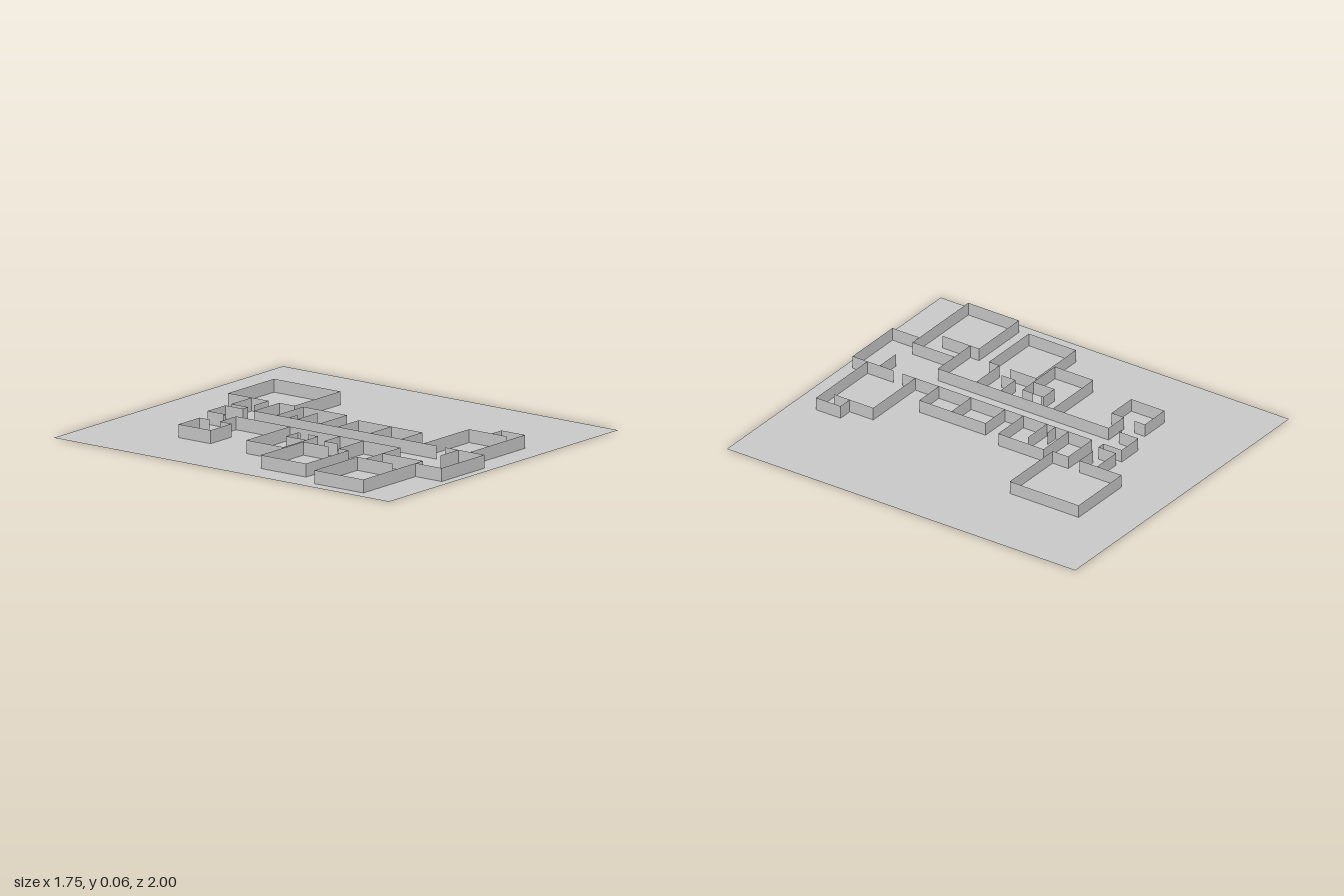
import * as THREE from 'three';
import { mergeGeometries } from 'three/addons/utils/BufferGeometryUtils.js';

const HEIGHT = 0.065;
const material = new THREE.MeshStandardMaterial({ color: 0xcccccc, side: THREE.DoubleSide, flatShading: true });

// One thin upright panel between two plan points [x, z]
function panel([x1, z1], [x2, z2]) {
  const g = new THREE.PlaneGeometry(Math.hypot(x2 - x1, z2 - z1), HEIGHT);
  g.rotateY(-Math.atan2(z2 - z1, x2 - x1));
  return g.translate((x1 + x2) / 2, HEIGHT / 2, (z1 + z2) / 2);
}

// A named set of walls, each following a plan path
function walls(name, ...paths) {
  const panels = paths.flatMap((p) => p.slice(1).map((end, i) => panel(p[i], end)));
  const mesh = new THREE.Mesh(mergeGeometries(panels), material);
  mesh.name = name;
  return mesh;
}

export function createModel() {
  const model = new THREE.Group();
  model.name = 'floorPlan';

  const ground = new THREE.Mesh(new THREE.PlaneGeometry(1.75, 2).rotateX(-Math.PI / 2), material);
  ground.name = 'ground';

  model.add(
    ground,
    // Long central corridor, with door gaps
    walls('corridor',
      [[-0.225, -0.48], [-0.225, -0.59], [-0.09, -0.59], [-0.09, -0.485]],
      [[-0.225, -0.42], [-0.225, 0.56]],
      [[-0.09, -0.42], [-0.09, 0.67]]),
    // Back left: large room, closet and passage
    walls('backLeftRoom',
      [[0.105, -0.485], [0.105, -0.725], [0.455, -0.725], [0.455, -0.33], [0.105, -0.33], [0.105, -0.42], [-0.09, -0.42]]),
    walls('backLeftCloset',
      [[-0.09, -0.485], [-0.05, -0.485], [-0.05, -0.585], [0.105, -0.585]],
      [[-0.005, -0.485], [0.105, -0.485]]),
    // Back right: small room with its passage
    walls('backRightRoom',
      [[-0.35, -0.48], [-0.35, -0.54], [-0.51, -0.54], [-0.51, -0.35], [-0.35, -0.35], [-0.35, -0.42], [-0.225, -0.42]],
      [[-0.25, -0.48], [-0.225, -0.48]]),
    // Left side: divided room and a pair of equal rooms
    walls('leftDividedRoom',
      [[-0.09, -0.285], [0.115, -0.285], [0.115, -0.025], [-0.09, -0.025]],
      [[-0.09, -0.21], [-0.025, -0.21]],
      [[-0.09, -0.16], [0.065, -0.16]]),
    walls('leftPairedRooms',
      [[-0.09, 0.08], [0.07, 0.08], [0.07, 0.46], [-0.09, 0.46]],
      [[-0.09, 0.275], [0.07, 0.275]]),
    // Right side: room wrapped round a closet
    walls('rightRoom',
      [[-0.225, -0.1], [-0.555, -0.1], [-0.555, 0.12], [-0.38, 0.12], [-0.38, 0], [-0.29, 0], [-0.29, 0.015]],
      [[-0.29, 0.06], [-0.29, 0.12], [-0.38, 0.12]]),
    // Right side: wide room reached by a passage
    walls('rightWideRoom',
      [[-0.415, 0.28], [-0.415, 0.13], [-0.74, 0.13], [-0.74, 0.4], [-0.415, 0.4], [-0.415, 0.34], [-0.225, 0.34]],
      [[-0.225, 0.2], [-0.345, 0.2], [-0.345, 0.28]]),
    // Front left: room with a side bay
    walls('frontLeftRoom',
      [[-0.09, 0.595], [0.255, 0.595], [0.255, 0.82]],
      [[0.255, 0.73], [0.33, 0.73], [0.33, 0.87], [-0.09, 0.87]]),
    // Front right: large room and its lobby
    walls('frontRightRoom',
      [[-0.225, 0.56], [-0.49, 0.56]],
      [[-0.49, 0.72], [-0.49, 0.51], [-0.815, 0.51], [-0.815, 0.8], [-0.36, 0.8], [-0.36, 0.56]]),
    // Front entrance hall
    walls('entranceHall',
      [[-0.415, 0.8], [-0.415, 0.955], [-0.09, 0.955], [-0.09, 0.72]],
      [[-0.225, 0.8], [-0.09, 0.8]]),
  );
  return model;
}
